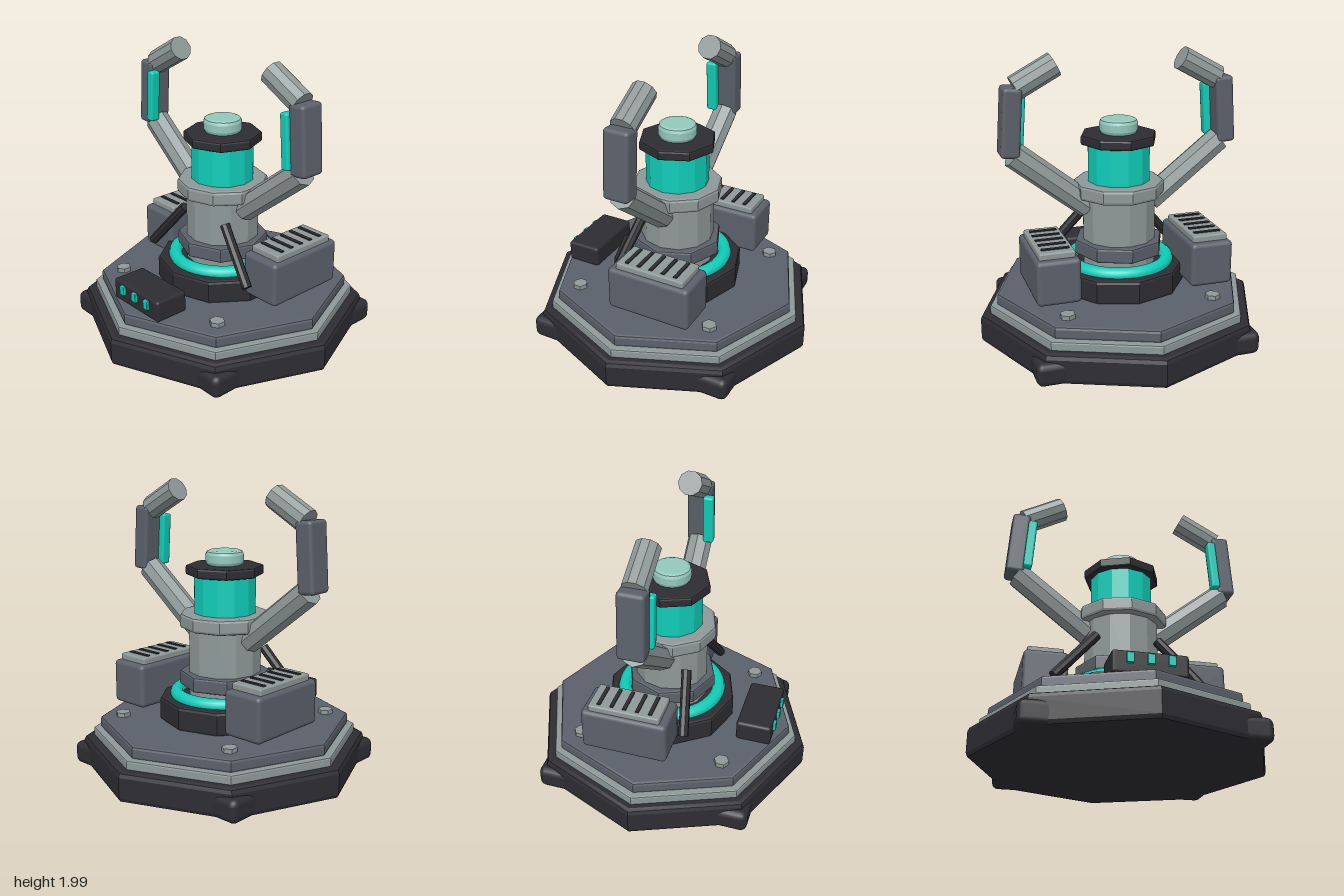
import * as THREE from 'three';
import { toCreasedNormals } from 'three/addons/utils/BufferGeometryUtils.js';
import { RoundedBoxGeometry } from 'three/addons/geometries/RoundedBoxGeometry.js';

const colour = (name, hex) => {
  const m = new THREE.MeshStandardMaterial({ color: hex });
  m.name = name;
  return m;
};

export function createModel() {
  const black = colour('charcoal', 0x2e2d32);
  const slate = colour('slate', 0x5b616b);
  const grey = colour('light grey', 0x8e9998);
  const teal = colour('teal', 0x10cdb9);
  const pale = colour('pale teal', 0x94c8bc);

  const model = new THREE.Group();
  model.name = 'machine';

  const add = (name, geometry, material, x = 0, y = 0, z = 0, parent = model) => {
    const mesh = new THREE.Mesh(geometry, material);
    mesh.name = name;
    mesh.position.set(x, y, z);
    parent.add(mesh);
    return mesh;
  };

  // Faceted solid of n sides with a bevelled rim, from y0 to y1
  const prism = (name, material, r, y0, y1, n, bevel = 0.015) => {
    const k = bevel * 0.3;
    const profile = [
      [0, y0], [r - bevel, y0], [r - k, y0 + k], [r, y0 + bevel],
      [r, y1 - bevel], [r - k, y1 - k], [r - bevel, y1], [0, y1],
    ].map(([x, y]) => new THREE.Vector2(x, y));
    return add(name, toCreasedNormals(new THREE.LatheGeometry(profile, n), 0.35), material);
  };

  // Box with rounded edges
  const box = (name, material, size, pos, radius = 0.02, parent = model) =>
    add(name, new RoundedBoxGeometry(...size, 2, radius), material, ...pos, parent);

  // Faceted rod between two points
  const rod = (name, material, a, b, r, n, parent) => {
    const from = new THREE.Vector3(...a);
    const to = new THREE.Vector3(...b);
    const geo = toCreasedNormals(new THREE.CylinderGeometry(r, r, from.distanceTo(to), n), 0.35);
    const mesh = add(name, geo, material, 0, 0, 0, parent);
    mesh.position.copy(from).add(to).multiplyScalar(0.5);
    mesh.quaternion.setFromUnitVectors(new THREE.Vector3(0, 1, 0), to.sub(from).normalize());
    return mesh;
  };

  // Stepped octagonal base
  prism('basePlinth', black, 1, 0, 0.21, 8, 0.035);
  prism('baseTrim', grey, 0.93, 0.2, 0.27, 8, 0.012);
  prism('baseDeck', slate, 0.88, 0.26, 0.35, 8, 0.02);

  // Corner feet and deck bolts
  for (const sx of [-1, 1]) {
    for (const sz of [-1, 1]) {
      box('cornerFoot', black, [0.24, 0.16, 0.24], [sx * 0.65, 0.08, sz * 0.635], 0.045);
      const bolt = toCreasedNormals(new THREE.CylinderGeometry(0.052, 0.052, 0.04, 6), 0.35);
      add('deckBolt', bolt, grey, sx * 0.51, 0.36, sz * 0.51);
    }
  }

  // Central column
  prism('columnSocket', black, 0.46, 0.34, 0.51, 10, 0.02);
  const ring = new THREE.TorusGeometry(0.338, 0.048, 10, 40).rotateX(Math.PI / 2);
  add('glowRing', ring, teal, 0, 0.522, 0);
  prism('columnShaft', grey, 0.257, 0.5, 1.02, 12, 0.005);
  prism('lowerCollar', slate, 0.316, 0.58, 0.685, 8, 0.015);
  prism('upperCollar', grey, 0.314, 0.995, 1.1, 10, 0.02);
  prism('energyCore', teal, 0.218, 1.09, 1.37, 12, 0.005);
  prism('coreCap', black, 0.268, 1.36, 1.43, 8, 0.014);
  prism('topButton', pale, 0.132, 1.425, 1.53, 20, 0.028);

  // Front console with three lights
  box('console', black, [0.475, 0.15, 0.245], [0, 0.417, 0.662], 0.02);
  for (const x of [-0.128, 0, 0.128]) {
    box('consoleLight', teal, [0.045, 0.065, 0.03], [x, 0.44, 0.79], 0.005);
  }

  // Mirrored side assemblies
  for (const s of [-1, 1]) {
    const side = new THREE.Group();
    side.name = s > 0 ? 'leftSide' : 'rightSide';
    model.add(side);

    // Power box with vent plate and slots
    box('powerBox', slate, [0.3, 0.31, 0.6], [s * 0.537, 0.56, -0.134], 0.03, side);
    box('ventPlate', grey, [0.245, 0.06, 0.5], [s * 0.537, 0.728, -0.137], 0.012, side);
    for (let i = 0; i < 5; i++) {
      add('ventSlot', new THREE.BoxGeometry(0.19, 0.012, 0.025), black,
        s * 0.537, 0.76, 0.043 - i * 0.09, side);
    }

    // Brace rod from column to power box
    rod('braceRod', black, [s * 0.21, 0.85, 0.17], [s * 0.5, 0.51, 0.235], 0.035, 8, side);

    // Jointed arm
    rod('lowerArm', grey, [s * 0.225, 0.93, 0], [s * 0.735, 1.335, -0.01], 0.09, 8, side);
    const forearm = new THREE.Group();
    forearm.name = 'forearm';
    forearm.position.set(s * 0.75, 1.557, -0.01);
    forearm.rotation.z = s * 0.07;
    side.add(forearm);
    box('forearmShell', slate, [0.128, 0.465, 0.18], [0, 0, 0], 0.025, forearm);
    box('forearmLight', teal, [0.062, 0.37, 0.075], [-s * 0.08, -0.008, 0.078], 0.015, forearm);
    rod('handSegment', grey, [s * 0.71, 1.775, -0.01], [s * 0.443, 1.92, -0.01], 0.085, 10, side);
  }

  return model;
}
